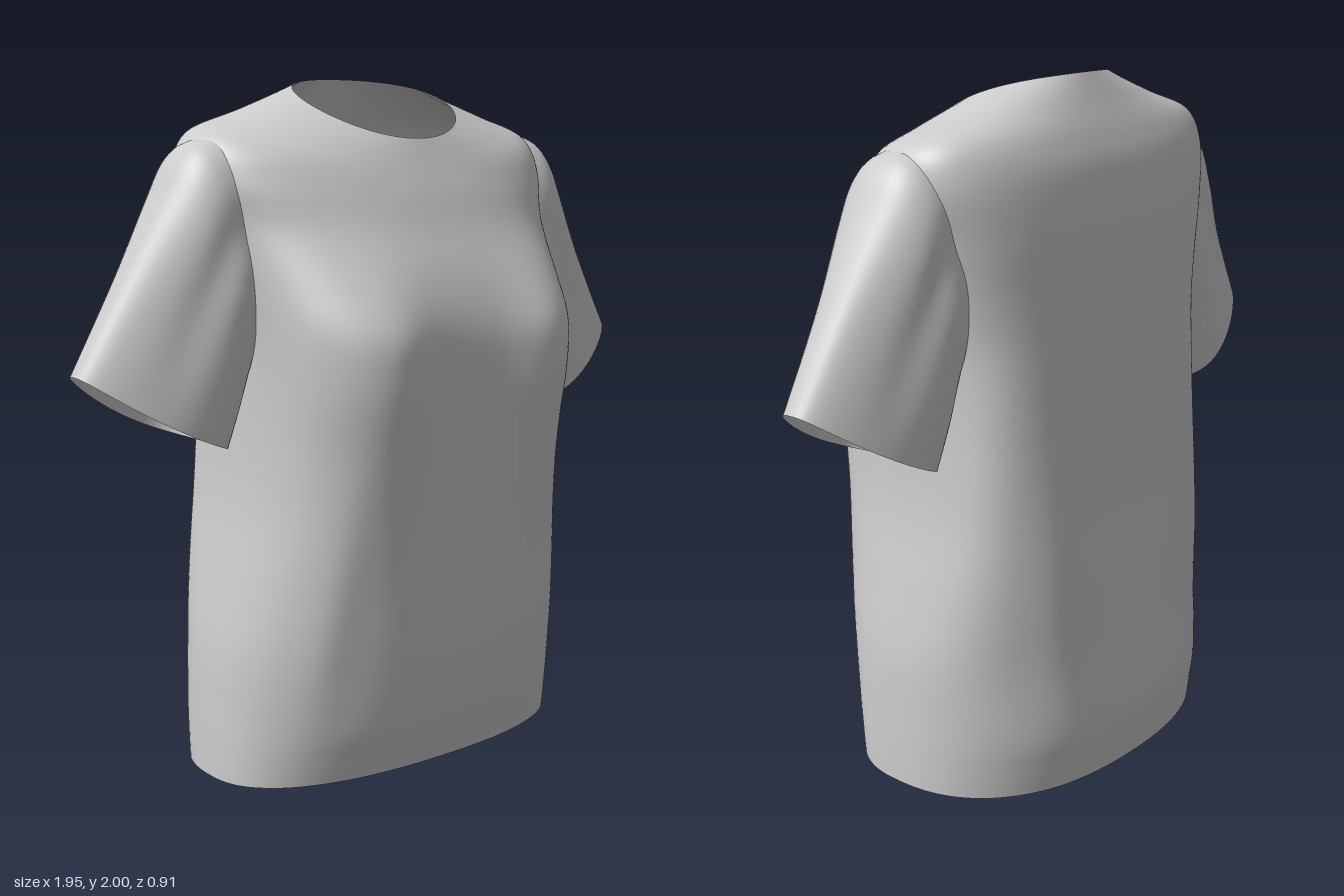
import * as THREE from 'three';

const material = new THREE.MeshStandardMaterial({ color: 0xcccccc, side: THREE.DoubleSide });

// Catmull-Rom blend through rows of numbers, t from 0 to 1
function sampleRows(rows, t) {
  const last = rows.length - 1;
  const i = Math.min(Math.floor(t * last), last - 1), f = t * last - i;
  const b = rows[i], c = rows[i + 1];
  const a = rows[i - 1] || b.map((v, k) => 2 * v - c[k]);
  const d = rows[i + 2] || c.map((v, k) => 2 * v - b[k]);
  return b.map((v, k) => v + 0.5 * f * (c[k] - a[k] + f * (2 * a[k] - 5 * v + 4 * c[k] - d[k]
    + f * (3 * (v - c[k]) + d[k] - a[k]))));
}

// Smooth open tube through closed rings; pointAt(t, angle) returns [x, y, z]
function loft(name, steps, sides, pointAt) {
  const positions = [], indices = [];
  for (let i = 0; i <= steps; i++) {
    for (let j = 0; j < sides; j++) {
      positions.push(...pointAt(i / steps, (j / sides) * Math.PI * 2));
      if (i === steps) continue;
      const a = i * sides + j, b = i * sides + (j + 1) % sides;
      indices.push(a, a + sides, b, b, a + sides, b + sides);
    }
  }
  const geometry = new THREE.BufferGeometry();
  geometry.setAttribute('position', new THREE.Float32BufferAttribute(positions, 3));
  geometry.setIndex(indices);
  geometry.computeVertexNormals();
  const mesh = new THREE.Mesh(geometry, material);
  mesh.name = name;
  return mesh;
}

const power = (v, p) => Math.sign(v) * Math.pow(Math.abs(v), 2 / p);
const bell = (v, width) => Math.exp(-(v * v) / (width * width));

// Torso rings, hem to neck:
// yFront, ySide, yBack, halfWidth, zFront, zBack, zSide, front squareness, back squareness
const torsoRows = [
  [0.035, 0.02, 0.0, 0.605, 0.31, -0.43, -0.01, 2.4, 2.35],
  [0.10, 0.09, 0.08, 0.604, 0.33, -0.442, -0.01, 2.35, 2.35],
  [0.20, 0.20, 0.18, 0.600, 0.358, -0.45, -0.01, 2.3, 2.4],
  [0.40, 0.40, 0.40, 0.588, 0.382, -0.425, -0.02, 2.4, 2.6],
  [0.60, 0.60, 0.60, 0.555, 0.395, -0.405, -0.04, 2.7, 3.1],
  [0.80, 0.80, 0.80, 0.520, 0.405, -0.385, -0.06, 3.1, 3.7],
  [1.00, 1.00, 1.00, 0.505, 0.415, -0.372, -0.06, 3.3, 3.9],
  [1.18, 1.18, 1.18, 0.503, 0.423, -0.365, -0.04, 3.5, 3.9],
  [1.32, 1.32, 1.32, 0.512, 0.417, -0.362, -0.03, 3.4, 3.7],
  [1.45, 1.45, 1.45, 0.535, 0.378, -0.36, -0.05, 3.0, 3.4],
  [1.59, 1.60, 1.60, 0.570, 0.305, -0.355, -0.06, 2.5, 3.2],
  [1.68, 1.74, 1.75, 0.606, 0.262, -0.335, -0.06, 2.2, 3.0],
  [1.74, 1.84, 1.84, 0.572, 0.230, -0.303, -0.06, 2.1, 2.8],
  [1.79, 1.89, 1.92, 0.425, 0.203, -0.262, -0.04, 2.1, 2.4],
  [1.833, 1.94, 2.0, 0.257, 0.180, -0.22, -0.02, 2.0, 2.0],
];

function torsoPoint(t, angle) {
  const [yf, ys, yb, w, zf, zb, zc, pf, pb] = sampleRows(torsoRows, t);
  const c = Math.cos(angle), s = -Math.sin(angle);
  const p = s > 0 ? pf : pb;
  const x = w * power(c, p);
  const y = ys + 0.5 * (yf - yb) * s + (0.5 * (yf + yb) - ys) * s * s;
  let z = zc + Math.abs(power(s, p)) * (s > 0 ? zf - zc : zb - zc);
  if (s > 0) {
    // Bust, with cloth hanging away below it
    const out = Math.abs(x) - 0.3;
    const drape = bell(y - 1.28, y > 1.28 ? 0.17 : 0.4);
    z += 0.05 * bell(out, out > 0 ? 0.2 : 0.14) * drape * Math.min(1, s * 2);
    // Soft diagonal folds toward the sides
    z += 0.012 * bell(Math.abs(x) - 0.42 - 0.1 * (0.6 - y), 0.06) * bell(y - 0.55, 0.3);
  } else {
    // Shallow vertical folds in the back
    z -= 0.01 * bell(Math.abs(x) - 0.32, 0.08) * bell(y - 0.6, 0.4);
  }
  return [x, y, z];
}

// Left sleeve rings, inside the shoulder to cuff:
// upper x, upper y, lower x, lower y, half depth, taper toward the upper edge
const sleeveRows = [
  [0.46, 1.84, 0.42, 1.30, 0.15, 0.0],
  [0.58, 1.832, 0.445, 1.25, 0.175, 0.0],
  [0.648, 1.79, 0.465, 1.22, 0.187, 0.03],
  [0.713, 1.68, 0.488, 1.18, 0.185, 0.10],
  [0.835, 1.465, 0.518, 1.09, 0.168, 0.28],
  [0.977, 1.22, 0.55, 0.987, 0.153, 0.36],
];

function sleevePoint(t, angle) {
  const [ux, uy, lx, ly, depth, taper] = sampleRows(sleeveRows, t);
  const c = Math.cos(angle), s = Math.sin(angle), k = 0.5 + 0.5 * c;
  // A fold down each face, and a cuff edge that sags a little
  const fold = 1 - 0.1 * bell(c - 0.25, 0.25) * Math.sin(Math.PI * t);
  const z = -0.06 + depth * power(s, 2.7) * (1 - taper * c) * fold;
  return [lx + (ux - lx) * k, ly + (uy - ly) * k - 0.025 * t * s * s, z];
}

export function createModel() {
  const shirt = new THREE.Group();
  shirt.name = 'shirt';
  shirt.add(loft('torso', 84, 128, torsoPoint));
  for (const side of [1, -1]) {
    shirt.add(loft(side > 0 ? 'leftSleeve' : 'rightSleeve', 40, 64, (t, angle) => {
      const [x, y, z] = sleevePoint(t, -side * angle);
      return [side * x, y, z];
    }));
  }
  return shirt;
}
